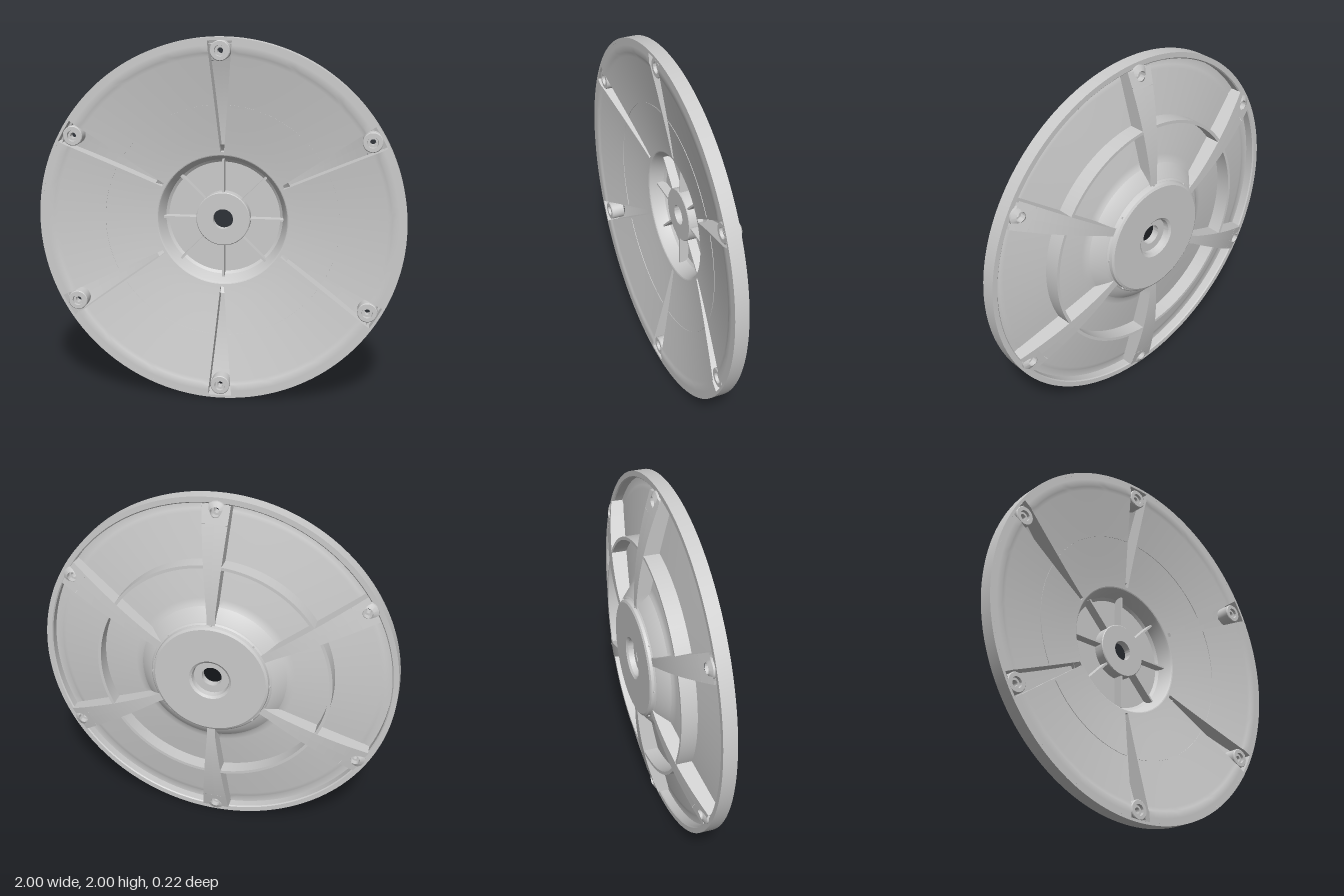
import * as THREE from 'three';
import { toCreasedNormals } from 'three/addons/utils/BufferGeometryUtils.js';

const mat = new THREE.MeshStandardMaterial({ color: 0xcccccc, side: THREE.DoubleSide });
const STEP = Math.PI / 3;
const BOSS_R = 0.93;
const PATCH_R = 0.87;

// Depth (z) and width rules along the radius
const frontZ = r => (r >= 0.93 ? 0.105 : 0.1 * Math.pow(Math.max(0, r - 0.36) / 0.56, 1.1));
const coneZ = r => -0.08 + (r - 0.345) * 0.89;
const backZ = r => Math.min(frontZ(r) - 0.022, coneZ(r) + 0.004);
const crestZ = r => -0.09 + 0.12 * Math.pow((r - 0.3) / 0.7, 2);
const floorZ = r => crestZ(r) + 0.018;
const pocketHalf = r => 0.01 + Math.max(0, r - 0.38) * 0.092;
const ribHalf = r => pocketHalf(r) + 0.013;

function add(parent, name, geo) {
  const m = new THREE.Mesh(geo, mat);
  m.name = name;
  parent.add(m);
  return m;
}

// Revolve [radius, z] points about the z axis
function turned(points, segs = 128, start = 0, length = Math.PI * 2) {
  const g = new THREE.LatheGeometry(points.map(p => new THREE.Vector2(p[0], p[1])), segs, start, length);
  return toCreasedNormals(g.rotateX(Math.PI / 2), 0.5);
}

// One 60 degree sheet from the middle of a rib to the next, made of radial cross-sections
function sectorSheet(rows, half, skin, channel, flip) {
  const N = 20, pos = [], idx = [];
  for (const [r, open] of rows) {
    const t = Math.asin(half(r) / r), zs = skin(r), zc = open ? channel(r) : zs;
    const section = [[0, zc], [t, zc]];
    for (let i = 0; i <= N; i++) section.push([t + (STEP - 2 * t) * i / N, zs]);
    section.push([STEP - t, zc], [STEP, zc]);
    for (const [a, z] of section) pos.push(r * Math.cos(a), r * Math.sin(a), z);
  }
  const cols = N + 5;
  for (let i = 0; i < rows.length - 1; i++) {
    for (let j = 0; j < cols - 1; j++) {
      const r0 = rows[i][0], r1 = rows[i + 1][0];
      // leave the channel floor open around the screw boss
      if ((j === 0 || j === cols - 2) && r0 >= PATCH_R && r1 > r0) continue;
      const a = i * cols + j, b = a + cols, c = b + 1, d = a + 1;
      if (flip) idx.push(a, c, b, a, d, c);
      else idx.push(a, b, c, a, c, d);
    }
  }
  const g = new THREE.BufferGeometry();
  g.setAttribute('position', new THREE.Float32BufferAttribute(pos, 3));
  g.setIndex(idx);
  return toCreasedNormals(g, 0.5);
}

// Channel floor with a screw hole, lying along +x
function holedFloor(r1, half, zRule, hole) {
  const a = half(PATCH_R), b = half(r1);
  const s = new THREE.Shape([[PATCH_R, -a], [r1, -b], [r1, b], [PATCH_R, a]].map(p => new THREE.Vector2(...p)));
  s.holes.push(new THREE.Path().absarc(BOSS_R, 0, hole, 0, Math.PI * 2, true));
  const g = new THREE.ShapeGeometry(s, 24), p = g.attributes.position;
  for (let i = 0; i < p.count; i++) p.setZ(i, zRule(p.getX(i)));
  g.computeVertexNormals();
  return g;
}

function radii(from, to, n) {
  return Array.from({ length: n + 1 }, (_, i) => from + (to - from) * i / n);
}

export function createModel() {
  const root = new THREE.Group();
  root.name = 'ribbedDisc';
  const disc = new THREE.Group();
  disc.name = 'disc';
  disc.position.y = 1;
  root.add(disc);

  // Outer rim band
  add(disc, 'rim', turned([[0.965, 0.085], [0.965, 0.036], [0.971, 0.03], [1, 0.03], [1, 0.105], [0.985, 0.105]], 160));

  // Hub: front recess, central sleeve, rear counterbore and rear plate
  add(disc, 'hub', turned([
    [0.37, frontZ(0.37)], [0.36, -0.003], [0.353, -0.012], [0.327, -0.078], [0.312, -0.09],
    [0.15, -0.09], [0.15, -0.034], [0.146, -0.03], [0.056, -0.03], [0.056, -0.07],
    [0.1, -0.07], [0.105, -0.1], [0.118, -0.11], [0.31, -0.11], [0.322, -0.103],
    [0.326, -0.085], [0.345, -0.08], [0.42, backZ(0.42) + 0.002]
  ]));

  // Eight stiffeners inside the hub recess
  for (let k = 0; k < 8; k++) {
    const spoke = new THREE.Group();
    spoke.name = 'hubStiffener';
    spoke.rotation.z = k * Math.PI / 4;
    add(spoke, 'stiffenerPlate', new THREE.BoxGeometry(0.19, 0.011, 0.055)).position.set(0.238, 0, -0.0655);
    disc.add(spoke);
  }

  // Dished skin, hollow ribs and screw bosses, repeated six times
  const frontRows = [[0.365, false], [0.38, false],
    ...radii(0.38, PATCH_R, 16).map(r => [r, true]),
    ...[0.9, 0.92, 0.93, 0.96, 0.985].map(r => [r, true]), [0.985, false]];
  const backRows = [...radii(0.33, PATCH_R, 18), 0.9, 0.92, 0.93, 0.966].map(r => [r, true]);
  const frontSkin = sectorSheet(frontRows, pocketHalf, frontZ, floorZ, false);
  const backSkin = sectorSheet(backRows, ribHalf, backZ, crestZ, true);
  const frontFloor = holedFloor(0.985, pocketHalf, floorZ, 0.05);
  const backFloor = holedFloor(0.966, ribHalf, crestZ, 0.028);
  const zb = crestZ(BOSS_R);
  const boss = turned([
    [0.028, zb - 0.002], [0.054, zb + 0.012], [0.054, 0.092], [0.05, 0.096], [0.03, 0.096], [0.028, 0.08],
    [0.016, 0.08], [0.016, zb + 0.03], [0.028, zb + 0.03], [0.028, zb - 0.002]
  ], 32);
  const ringGap = 0.07;
  const ring = turned([[0.643, 0.05], [0.643, -0.058], [0.66, -0.058], [0.66, 0.05]],
    28, ringGap, STEP - 2 * ringGap);
  ring.rotateZ(Math.PI / 2); // arc starts on +x like the sectors

  for (let k = 0; k < 6; k++) {
    const sector = new THREE.Group();
    sector.name = 'sector';
    sector.rotation.z = Math.PI / 2 + k * STEP;
    add(sector, 'frontSkin', frontSkin);
    add(sector, 'backSkinAndRib', backSkin);
    add(sector, 'pocketFloor', frontFloor);
    add(sector, 'ribCrestEnd', backFloor);
    add(sector, 'screwBoss', boss).position.x = BOSS_R;
    add(sector, 'backRing', ring);
    disc.add(sector);
  }
  return root;
}
